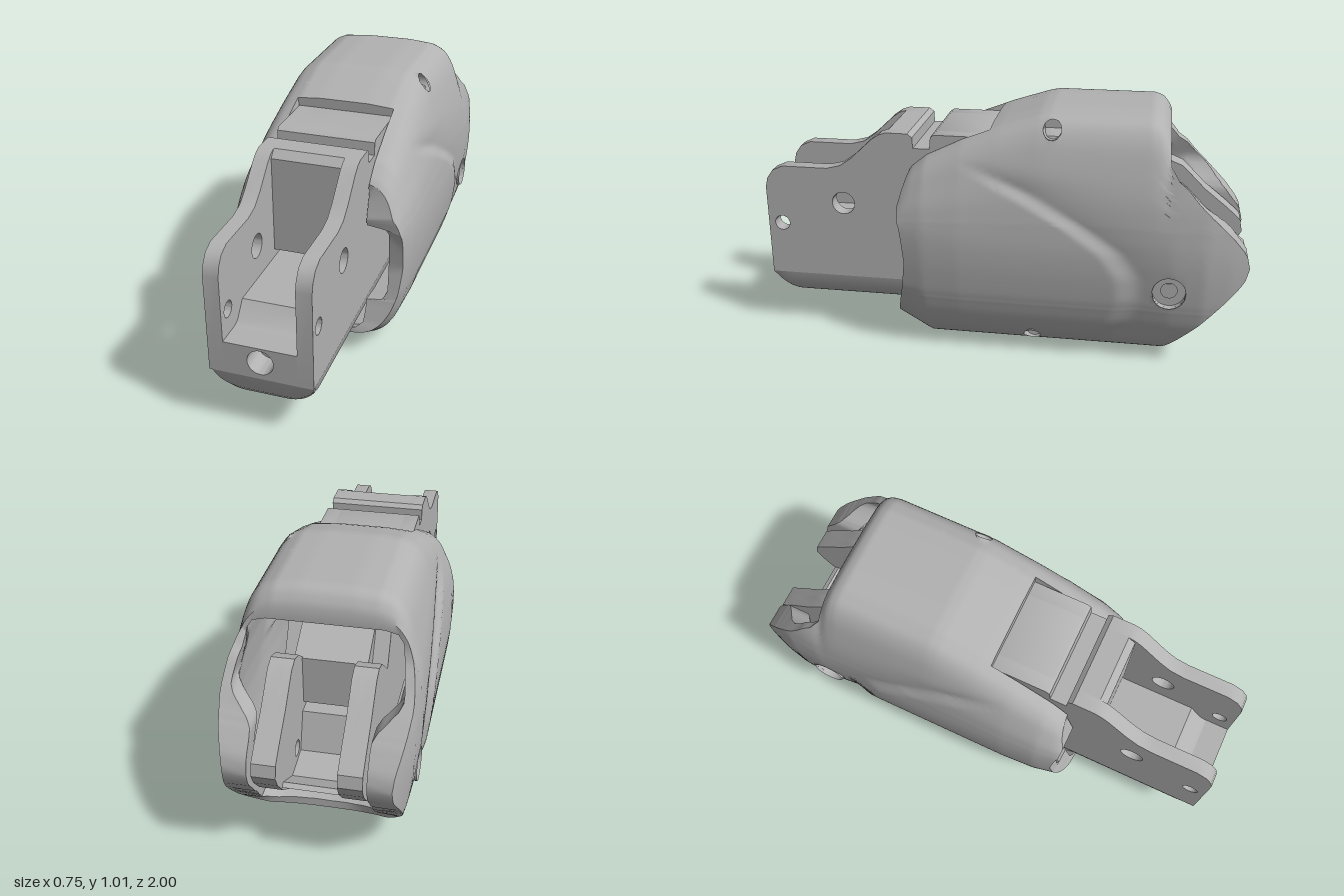
import * as THREE from 'three';
import { toCreasedNormals } from 'three/addons/utils/BufferGeometryUtils.js';

const grey = new THREE.MeshStandardMaterial({ color: 0xb2b2b2, side: THREE.DoubleSide });
grey.name = 'plain grey';

const { lerp, smoothstep, clamp } = THREE.MathUtils;

// Piecewise linear lookup; keys ascend
function table(pts, k) {
  if (k <= pts[0][0]) return pts[0][1];
  for (let i = 1; i < pts.length; i++) {
    const [a, va] = pts[i - 1], [b, vb] = pts[i];
    if (k <= b) return lerp(va, vb, (k - a) / (b - a));
  }
  return pts[pts.length - 1][1];
}

// Half cross-sections of the shell, top centre to bottom centre (x, y)
const OUTER = [[0, 1.02], [0.1, 1.02], [0.205, 1.01], [0.207, 1.009], [0.255, 0.982], [0.295, 0.92], [0.327, 0.82],
  [0.352, 0.72], [0.365, 0.63], [0.369, 0.59], [0.374, 0.5], [0.37, 0.4], [0.358, 0.3], [0.35, 0.26], [0.345, 0.24],
  [0.323, 0.17], [0.28, 0.09], [0.22, 0.035], [0.12, 0.01], [0, 0.005]];
// inside of the front mouth with its side pockets
const INNER = [[0, 0.97], [0.1, 0.97], [0.2, 0.97], [0.206, 0.96], [0.206, 0.92], [0.206, 0.87], [0.206, 0.79],
  [0.206, 0.72], [0.206, 0.68], [0.275, 0.67], [0.29, 0.57], [0.29, 0.4], [0.29, 0.3], [0.27, 0.25], [0.206, 0.24],
  [0.206, 0.18], [0.2, 0.1], [0.17, 0.055], [0.1, 0.04], [0, 0.04]];
// inside of the rear cavity
const CAVITY = [[0, 0.955], [0.1, 0.955], [0.2, 0.955], [0.215, 0.955], [0.265, 0.94], [0.285, 0.9], [0.295, 0.81],
  [0.315, 0.72], [0.325, 0.63], [0.33, 0.59], [0.335, 0.5], [0.332, 0.4], [0.322, 0.3], [0.315, 0.26], [0.312, 0.24],
  [0.295, 0.17], [0.255, 0.105], [0.2, 0.065], [0.1, 0.045], [0, 0.04]];
// Edges, heights and widths along the shell
const FRONT = [[0, 0.44], [0.1, 0.42], [0.28, 0.39], [0.4, 0.375], [0.5, 0.385], [0.6, 0.4], [0.8, 0.405], [1.02, 0.37]];
const REAR = [[0, -0.62], [0.04, -0.68], [0.18, -0.81], [0.32, -0.93], [0.39, -0.985], [0.45, -1], [0.51, -0.985],
  [0.58, -0.93], [0.73, -0.78], [0.82, -0.71], [0.9, -0.675], [0.98, -0.67], [1.02, -0.67]];
const TOP = [[-0.75, 1.02], [-0.67, 0.95], [-0.655, 0.98], [-0.635, 1.005], [-0.6, 1.02], [-0.2, 1.02], [-0.16, 1.013],
  [0, 0.96], [0.15, 0.9], [0.3, 0.825], [0.36, 0.775], [0.39, 0.735], [0.405, 0.7], [0.44, 0.66]];
const BOTTOM = [[0.29, 0], [0.44, 0.1]];
const WIDTH = [[-1, 0.6], [-0.93, 0.76], [-0.83, 0.93], [-0.7, 1], [0.15, 1], [0.3, 0.95], [0.44, 0.78]];
const CREASE = [[0.03, -0.38], [0.1, -0.4], [0.2, -0.45], [0.3, -0.48], [0.4, -0.47], [0.5, -0.4], [0.6, -0.25],
  [0.7, -0.07], [0.83, 0.22]];
// Round openings in the shell walls; slope is the lean of the wall there
const HOLES = [
  { z: -0.695, y: 0.345, r: 0.066, slope: 0, both: true },
  { z: -0.215, y: 0.965, r: 0.036, x: 0.265, slope: -0.65 },
  { z: -0.145, y: 0.068, r: 0.036, x: 0.258, slope: 1.1 },
];

function sample(list, u) {
  const i = Math.min(Math.floor(u), list.length - 2), f = u - i;
  return [0, 1].map(k => lerp(list[i][k], list[i + 1][k], f));
}

// Outer section rounded by a spline below the roof slot
function sampleOuter(u) {
  if (u < 3) return sample(OUTER, u);
  const last = OUTER.length - 1, i = Math.min(Math.floor(u), last - 1), f = u - i;
  const at = n => OUTER[clamp(n, 3, last)];
  return [0, 1].map(k => {
    const a = at(i)[k], b = at(i + 1)[k], m = (b - at(i - 1)[k]) / 2, n = (at(i + 2)[k] - a) / 2;
    return a + m * f + (3 * (b - a) - 2 * m - n) * f * f + (2 * (a - b) + m + n) * f * f * f;
  });
}

function shellPoint(u, t, side, inner) {
  const [ox, oy] = sampleOuter(u);
  let z = lerp(table(FRONT, oy), table(REAR, oy), t), x, y;
  if (u <= 2) z = Math.min(z, 0.04);
  const w = table(WIDTH, z);
  const squeeze = v => (v > 0.206 ? 0.206 + (v - 0.206) * w : v);
  if (inner) {
    const [ix, iy] = sample(INNER, u), [cx, cy] = sample(CAVITY, u), k = smoothstep(t, 0.32, 0.6);
    let rx = squeeze(cx);
    // thick rim round the rear edge
    const rim = smoothstep(t, 0.88, 0.93) * smoothstep(oy, 0.1, 0.22) * (1 - smoothstep(oy, 0.58, 0.7));
    rx = lerp(rx, Math.min(rx, 0.215), rim);
    x = lerp(ix, rx, k);
    y = lerp(iy, cy, k);
  } else {
    x = squeeze(ox);
    y = oy;
  }
  if (y > 0.55) y = 0.55 + (y - 0.55) * (table(TOP, z) - 0.55) / 0.47;
  if (y < 0.3) y = lerp(table(BOTTOM, z), 0.3, y / 0.3);
  // curved step pressed into each flank
  const d = table(CREASE, y) - z;
  if (!inner && d > 0 && x > 0.21) {
    x -= 0.036 * smoothstep(d, 0, 0.12) * Math.exp(-d / 0.2) * smoothstep(y, 0.03, 0.15) * (1 - smoothstep(y, 0.72, 0.84));
  }
  // push points out of the openings onto their rims
  let tag = 0;
  HOLES.forEach((h, n) => {
    const dist = Math.hypot(z - h.z, y - h.y);
    if (dist < h.r && dist > 0 && x > 0.15 && (h.both || (side > 0 && !inner))) {
      const ny = h.y + (y - h.y) * h.r / dist;
      x += (ny - y) * h.slope;
      y = ny;
      z = h.z + (z - h.z) * h.r / dist;
      tag = n + 1;
    }
  });
  return { p: [x * side, y, z], tag };
}

function shellGeometry() {
  const half = (OUTER.length - 1) * 4, N = half * 2, T = 84;
  const pos = [], tags = [], index = [];
  for (const inner of [false, true]) for (let i = 0; i <= T; i++) for (let j = 0; j < N; j++) {
    const v = shellPoint((j <= half ? j : N - j) / 4, i / T, j <= half ? 1 : -1, inner);
    pos.push(...v.p);
    tags.push(v.tag);
  }
  const O = (i, j) => i * N + (j % N), I = (i, j) => (T + 1) * N + O(i, j);
  const tri = (a, b, c) => { if (!(tags[a] && tags[a] === tags[b] && tags[a] === tags[c])) index.push(a, b, c); };
  const quad = (a, b, c, d) => { tri(a, b, c); tri(a, c, d); };
  for (let j = 0; j < N; j++) {
    for (let i = 0; i < T; i++) {
      quad(O(i, j), O(i, j + 1), O(i + 1, j + 1), O(i + 1, j));
      quad(I(i, j), I(i + 1, j), I(i + 1, j + 1), I(i, j + 1));
    }
    quad(O(0, j), I(0, j), I(0, j + 1), O(0, j + 1));
    quad(O(T, j), O(T, j + 1), I(T, j + 1), I(T, j));
  }
  const g = new THREE.BufferGeometry();
  g.setAttribute('position', new THREE.Float32BufferAttribute(pos, 3));
  g.setIndex(index);
  return toCreasedNormals(g, 0.6);
}

// Side outline (z, y) extruded across x, with round holes [z, y, r]
function slab(points, x0, x1, holes = []) {
  const shape = new THREE.Shape(points.map(p => new THREE.Vector2(...p)));
  for (const [z, y, r] of holes) shape.holes.push(new THREE.Path().absarc(z, y, r, 0, Math.PI * 2, true));
  const g = new THREE.ExtrudeGeometry(shape, { depth: x1 - x0, bevelEnabled: false, curveSegments: 20 });
  return toCreasedNormals(g.rotateY(-Math.PI / 2).translate(x1, 0, 0), 0.6);
}

// Rounded underside of the arm
function keelGeometry() {
  const g = new THREE.BoxGeometry(0.4, 0.12, 1.62, 32, 1, 80).translate(0, 0.19, 0.19);
  const p = g.attributes.position;
  const fall = v => Math.sqrt(1 - clamp(v, 0, 1) ** 2);
  for (let i = 0; i < p.count; i++) {
    if (p.getY(i) > 0.2) continue;
    p.setY(i, 0.25 - 0.12 * fall((Math.abs(p.getX(i)) - 0.08) / 0.12) * fall((p.getZ(i) - 0.9) / 0.1));
  }
  return toCreasedNormals(g, 0.6);
}

export function createModel() {
  const model = new THREE.Group();
  const add = (name, geometry, parent = model) => {
    const m = new THREE.Mesh(geometry, grey);
    m.name = name;
    parent.add(m);
    return m;
  };

  // Outer housing and its openings
  add('outerShell', shellGeometry());
  for (const s of [1, -1]) {
    add('pivotBore', new THREE.CylinderGeometry(0.066, 0.066, 0.04, 28, 1, true).rotateZ(Math.PI / 2)).position.set(s * 0.338, 0.345, -0.695);
    add('pivotSeat', new THREE.RingGeometry(0.032, 0.067, 28).rotateY(s * Math.PI / 2)).position.set(s * 0.325, 0.345, -0.695);
  }
  for (const h of HOLES.slice(1)) {
    const g = new THREE.CylinderGeometry(h.r, h.r, 0.06, 20, 1, true).rotateZ(-Math.PI / 2).translate(-0.03, 0, 0);
    const p = g.attributes.position;
    for (let i = 0; i < p.count; i++) p.setX(i, p.getX(i) + p.getY(i) * h.slope);
    add('screwBore', g).position.set(h.x, h.y, h.z);
    add('screwSeat', new THREE.CircleGeometry(h.r, 20).rotateY(Math.PI / 2)).position.set(h.x - 0.06, h.y, h.z);
  }

  // Inner arm: mirrored cheeks with rear lugs
  const arm = new THREE.Group();
  arm.name = 'innerArm';
  model.add(arm);
  const tabs = [[0.47, 0.9], [0.38, 0.9], [0.36, 0.885], [0.358, 0.84], [0.29, 0.84], [0.285, 0.89], [0.27, 0.9], [0.03, 0.9]];
  const lug = [[-0.5, 0.62], [-0.62, 0.72], [-0.68, 0.74], [-0.73, 0.72], [-0.83, 0.62], [-0.93, 0.54], [-0.985, 0.49], [-0.995, 0.44],
    [-0.97, 0.39], [-0.91, 0.32], [-0.82, 0.25], [-0.72, 0.2], [-0.62, 0.2]];
  const cheek = [[1, 0.25], [1, 0.64], [0.99, 0.68], [0.965, 0.715], [0.92, 0.735], [0.73, 0.735], [0.67, 0.75],
    [0.62, 0.785], [0.53, 0.87], [0.5, 0.89], ...tabs, [-0.4, 0.78], ...lug, [-0.6, 0.25]];
  const pivot = [-0.695, 0.345, 0.032];
  for (const s of [1, -1]) {
    const [a, b] = s > 0 ? [0.14, 0.2] : [-0.2, -0.14], [c, d] = s > 0 ? [0.11, 0.14] : [-0.14, -0.11];
    add('cheekPlate', slab(cheek, a, b, [[0.665, 0.585, 0.048], [0.94, 0.48, 0.032], pivot]), arm);
    add('lugPad', slab([...lug, [-0.5, 0.25]], c, d, [pivot]), arm);
  }
  add('armKeel', keelGeometry(), arm);
  add('armFloor', slab([[0.9, 0.25], [0.9, 0.38], [0.87, 0.39], [0.82, 0.45], [-0.6, 0.45], [-0.65, 0.3], [-0.78, 0.28],
    [-0.9, 0.35], [-0.92, 0.34], [-0.8, 0.24], [-0.7, 0.2], [-0.6, 0.2]], -0.139, 0.139), arm);
  add('armCore', slab([[0.5, 0.48], [0.5, 0.87], ...tabs, [-0.4, 0.78], [-0.58, 0.68], [-0.58, 0.48]], -0.14, 0.14), arm);

  // Nose block with its round bore
  const nose = new THREE.Shape([[-0.14, 0.25], [0.14, 0.25], [0.14, 0.38], [-0.14, 0.38]].map(p => new THREE.Vector2(...p)));
  nose.holes.push(new THREE.Path().absarc(0, 0.32, 0.05, 0, Math.PI * 2, true));
  add('noseBlock', toCreasedNormals(new THREE.ExtrudeGeometry(nose, { depth: 0.1, bevelEnabled: false, curveSegments: 24 }), 0.6), arm).position.z = 0.9;
  return model;
}
